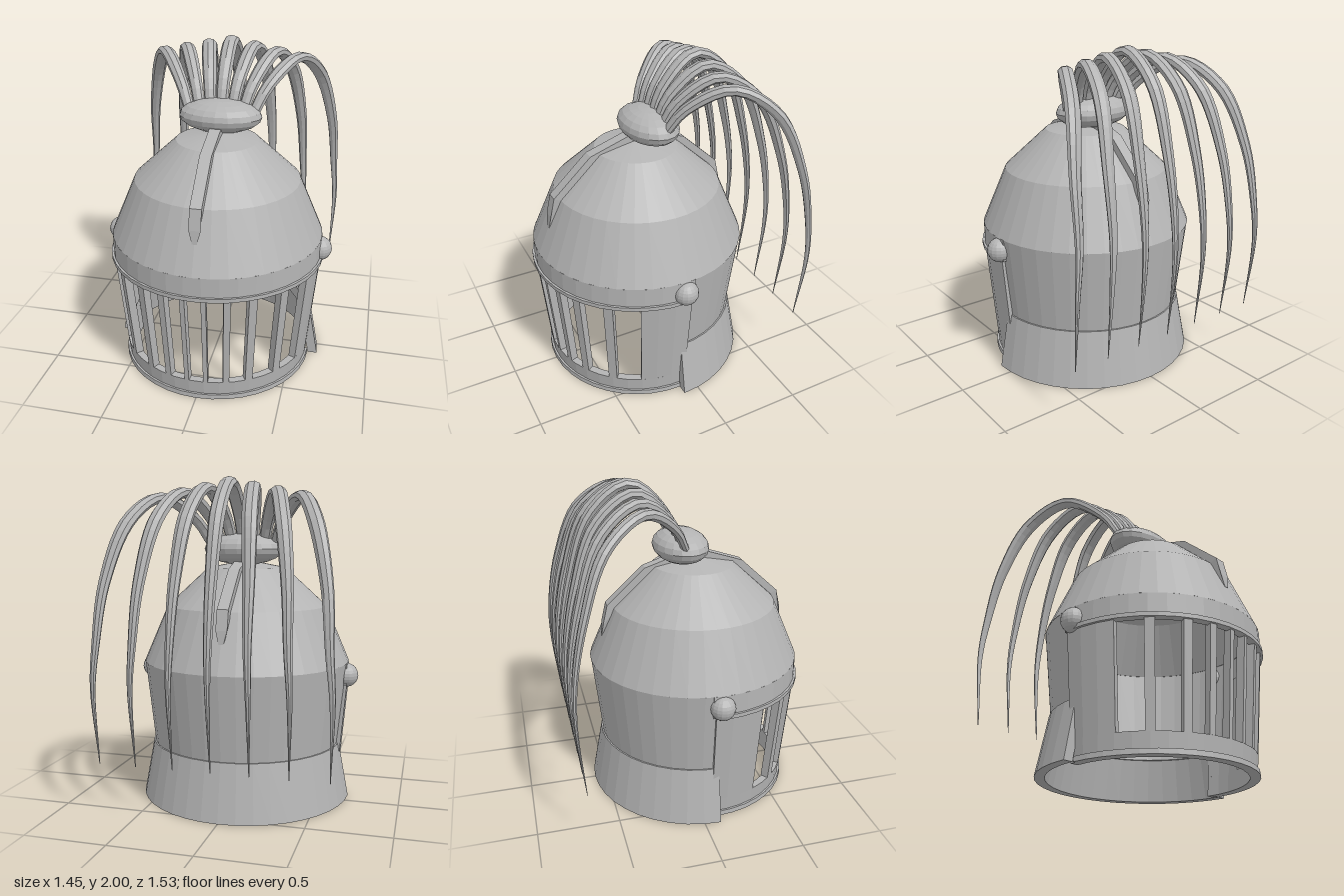
import * as THREE from 'three';

const RAD = Math.PI / 180;
const CENTRE_Z = 0.1; // axis of the helmet bowl

export function createModel() {
  const model = new THREE.Group();
  model.name = 'plumedHelmet';
  const steel = new THREE.MeshStandardMaterial({ color: 0xb4b4b4, flatShading: true, side: THREE.DoubleSide });
  steel.name = 'steelGrey';

  const add = (name, geometry, parent = model) => {
    const mesh = new THREE.Mesh(geometry, steel);
    mesh.name = name;
    parent.add(mesh);
    return mesh;
  };

  const bowl = new THREE.Group();
  bowl.name = 'helmetBody';
  bowl.position.z = CENTRE_Z;
  model.add(bowl);

  // Thick curved plate: outer [radius, y] points from bottom to top, swept from angle a to b (0 = front)
  function plate(name, outer, a, b, thickness, parent = bowl) {
    const inner = outer.map(([r, y]) => [Math.max(r - thickness, 0), y]).reverse();
    const section = [...outer, ...inner].map(([r, y]) => new THREE.Vector2(r, y));
    const group = new THREE.Group();
    group.name = name;
    parent.add(group);
    const steps = Math.max(1, Math.round((b - a) / 9));
    add(name + 'Surface', new THREE.LatheGeometry([...section, section[0].clone()], steps, a * RAD, (b - a) * RAD), group);
    if (b - a < 360) {
      for (const angle of [a, b]) {
        add(name + 'End', new THREE.ShapeGeometry(new THREE.Shape(section)), group).rotation.y = angle * RAD - Math.PI / 2;
      }
    }
  }

  // Dome
  const domeOuter = [[0.66, 0.87], [0.51, 1.22], [0.25, 1.46], [0, 1.51]];
  const domeInner = [[0, 1.47], [0.23, 1.42], [0.47, 1.2], [0.615, 0.87], [0.66, 0.87]];
  add('dome', new THREE.LatheGeometry([...domeOuter, ...domeInner].map(([r, y]) => new THREE.Vector2(r, y)), 40), bowl);

  // Brow band, back shell and flared neck guard
  plate('browBand', [[0.662, 0.73], [0.66, 0.87]], -95, 95, 0.04);
  plate('browRim', [[0.675, 0.725], [0.675, 0.75]], -90, 90, 0.05);
  plate('backShell', [[0.59, 0.26], [0.6, 0.34], [0.658, 0.87]], 72.5, 287.5, 0.04);
  plate('neckGuard', [[0.675, 0], [0.61, 0.35]], 90, 270, 0.06);

  // Visor: lower band, solid cheeks and grille bars
  const visorBottom = 0.12, visorTop = 0.735;
  const face = [[0.605, visorBottom], [0.66, visorTop]];
  plate('visorLowerBand', [[0.595, 0], [0.605, visorBottom]], -93.5, 93.5, 0.045);
  plate('visorLowerRim', [[0.612, 0], [0.61, 0.03]], -90, 90, 0.04);
  const bars = [[5.5, 2.6], [17.3, 3.6], [30.7, 4.4], [49, 5]]; // angle, angular width
  for (const side of [-1, 1]) {
    const ends = [side * 66, side * 93.5].sort((p, q) => p - q);
    plate('visorCheek', face, ends[0], ends[1], 0.045);
    for (const [angle, width] of bars) {
      plate('visorBar', face, side * angle - width / 2, side * angle + width / 2, 0.05);
    }
    // Hinge ball
    add('hingeBall', new THREE.SphereGeometry(0.075, 16, 12), bowl).position.set(side * 0.65, 0.79, 0);
  }

  // Crest ridge running over the dome, with pointed ends
  const ridge = [[0.588, 1.04], [0.578, 1.12], [0.55, 1.24], [0.31, 1.46], [0.05, 1.545]];
  const under = [[0.23, 1.44], [0.49, 1.21], [0.57, 1.04]];
  const ridgeShape = new THREE.Shape([
    ...ridge.map(([z, y]) => new THREE.Vector2(z, y)),
    ...[...ridge].reverse().map(([z, y]) => new THREE.Vector2(-z, y)),
    ...[...under].reverse().map(([z, y]) => new THREE.Vector2(-z, y)),
    ...under.map(([z, y]) => new THREE.Vector2(z, y)),
  ]);
  const ridgeGeo = new THREE.ExtrudeGeometry(ridgeShape, { depth: 0.07, bevelEnabled: false });
  ridgeGeo.translate(0, 0, -0.035).rotateY(-Math.PI / 2);
  const rp = ridgeGeo.attributes.position;
  for (let i = 0; i < rp.count; i++) if (rp.getY(i) < 1.05) rp.setX(i, rp.getX(i) * 0.4);
  add('crestRidge', ridgeGeo, bowl);

  // Flattened knot holding the plume
  const knot = add('plumeKnot', new THREE.SphereGeometry(1, 20, 10));
  knot.scale.set(0.255, 0.1, 0.168);
  knot.position.set(0, 1.58, 0.018);

  // Plume strands: tapered flattened tubes fanning out and falling behind
  const arc = [[0, 1.6], [-0.08, 1.79], [-0.29, 1.968], [-0.52, 1.81], [-0.665, 1.42], [-0.735, 1.05], [-0.745, 0.8], [-0.705, 0.35]];
  const spread = [0.2, 0.27, 0.42, 0.54, 0.63, 0.66, 0.68, 0.67];
  const drop = [0, 0.5, 1, 0.8, 0.3, 0, 0, 0];
  const rings = 36, sides = 8;
  for (let s = -3; s <= 3; s++) {
    const curve = new THREE.CatmullRomCurve3(arc.map(([z, y], i) =>
      new THREE.Vector3(spread[i] * s / 3, y - 0.028 * Math.abs(s) * drop[i], z)));
    const geo = new THREE.TubeGeometry(curve, rings, 1, sides);
    const pos = geo.attributes.position;
    const v = new THREE.Vector3();
    for (let i = 0; i <= rings; i++) {
      const u = i / rings;
      const centre = curve.getPointAt(u);
      const r = u < 0.15 ? 0.034 + 0.09 * u : 0.047 * Math.min(1, 0.05 + (1 - u) * 1.5);
      for (let j = 0; j <= sides; j++) {
        const k = i * (sides + 1) + j;
        v.fromBufferAttribute(pos, k).sub(centre).multiplyScalar(r);
        pos.setXYZ(k, centre.x + v.x, centre.y + v.y * 0.68, centre.z + v.z * 0.68);
      }
    }
    geo.computeVertexNormals();
    add('plumeStrand', geo);
  }

  return model;
}
